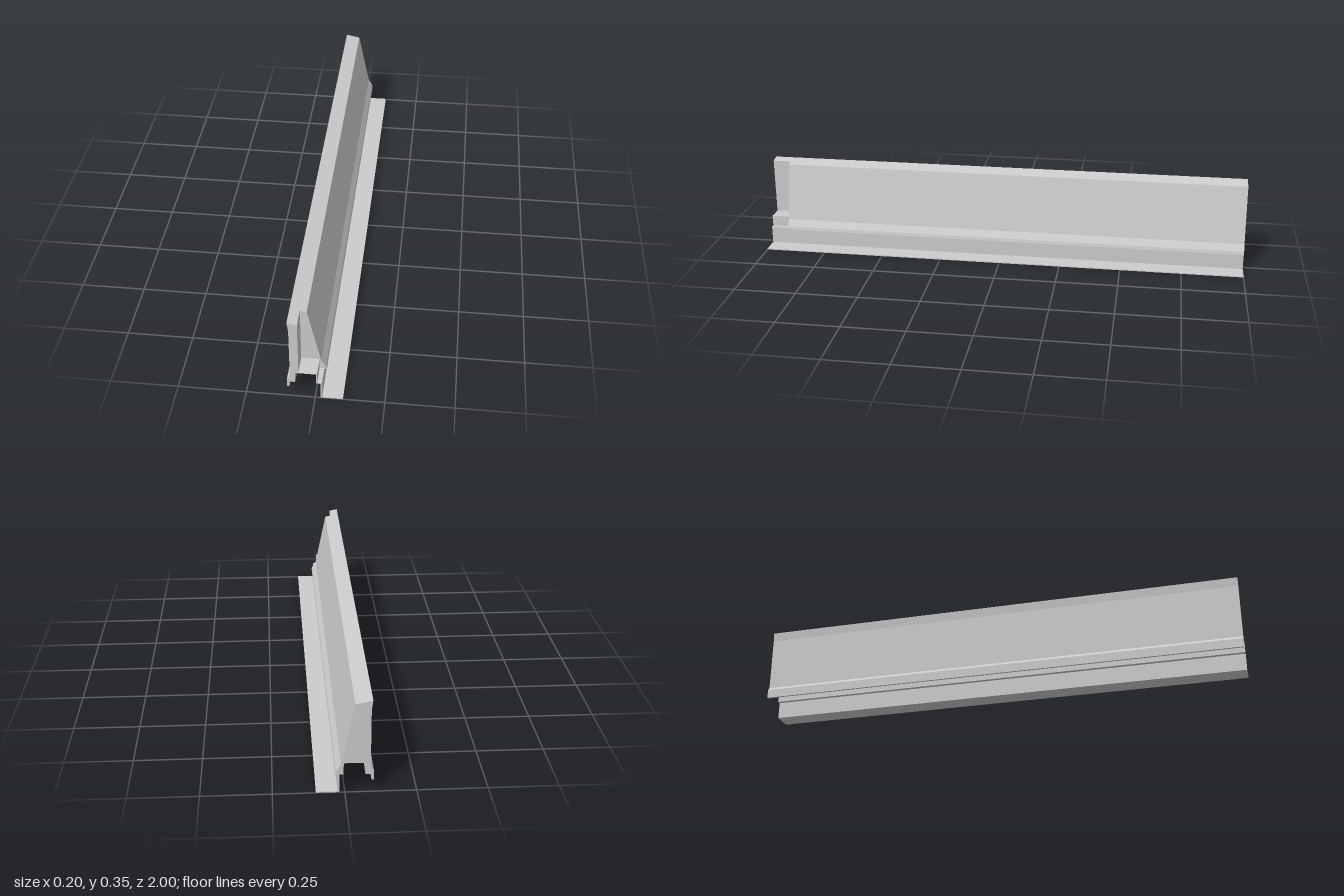
import * as THREE from 'three';

const material = new THREE.MeshStandardMaterial({ color: 0xcccccc, flatShading: true });

// Extrude an x/y cross-section along z between two stations
function rail(name, points, zBack, zFront) {
  const shape = new THREE.Shape(points.map(([x, y]) => new THREE.Vector2(x, y)));
  const geometry = new THREE.ExtrudeGeometry(shape, { depth: zFront - zBack, bevelEnabled: false });
  geometry.translate(0, 0, zBack);
  const mesh = new THREE.Mesh(geometry, material);
  mesh.name = name;
  return mesh;
}

export function createModel() {
  const group = new THREE.Group();
  group.name = 'edgeRail';
  const notchZ = 0.925, notchX = -0.058;

  // Flat back with its drip lip, shared by both body sections
  const backEdge = [
    [-0.071, 0.116], [-0.071, 0.07], [-0.092, 0.07], [-0.092, 0.047], [-0.1, 0.047],
    [-0.1, 0.083], [-0.089, 0.096], [-0.089, 0.318], [-0.094, 0.354],
  ];

  // Full tapered body
  group.add(rail('body', [
    ...backEdge, [-0.034, 0.342], [0.014, 0.11], [0.031, 0.083], [0.034, 0.07],
    [0.006, 0.07], [0.006, 0.116],
  ], -1, notchZ));

  // Narrow end tongue left by the notch
  group.add(rail('endTongue', [
    ...backEdge, [notchX, 0.347], [notchX, 0.116],
  ], notchZ, 1));

  // Thin stepped sheet running the full length under the body
  group.add(rail('steppedSheet', [
    [-0.071, 0.115], [0.004, 0.115], [0.004, 0.07], [0.019, 0.07], [0.019, 0], [0.1, 0],
    [0.1, 0.004], [0.025, 0.004], [0.025, 0.074], [0.008, 0.074], [0.008, 0.118], [-0.071, 0.118],
  ], -1, 1));

  return group;
}
